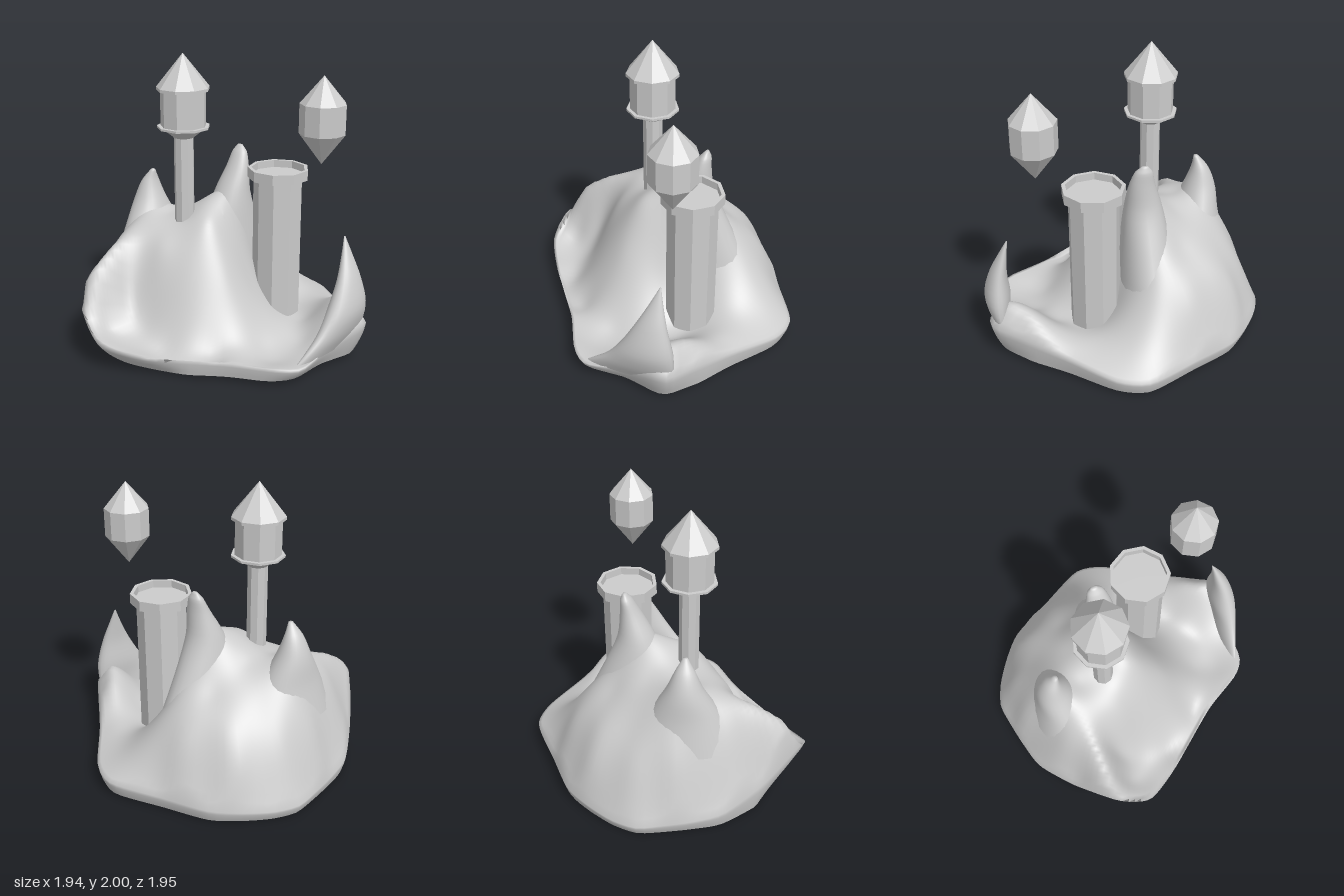
import * as THREE from 'three';

const smooth = new THREE.MeshStandardMaterial({ color: 0xcccccc, side: THREE.DoubleSide });
const faceted = new THREE.MeshStandardMaterial({ color: 0xcccccc, flatShading: true });

// Rim of the island: x, height, z
const RIM = [
  [0.15, 0.08, -0.98], [-0.02, 0.09, -0.96], [-0.22, 0.1, -0.92], [-0.42, 0.13, -0.86],
  [-0.68, 0.22, -0.66], [-0.92, 0.36, -0.42], [-0.97, 0.22, -0.2], [-0.82, 0.15, 0.06],
  [-0.5, 0.14, 0.48], [-0.33, 0.14, 0.78], [-0.2, 0.13, 0.88], [0.07, 0.18, 0.88],
  [0.32, 0.27, 0.95], [0.41, 0.26, 0.93], [0.51, 0.24, 0.78], [0.7, 0.18, 0.48],
  [0.92, 0.13, 0.18], [0.965, 0.12, -0.04], [0.8, 0.11, -0.37], [0.65, 0.1, -0.66],
  [0.5, 0.09, -0.8], [0.32, 0.08, -0.92],
];

// Spot heights inside the rim: x, height, z
const VALLEY = [
  [0.1, 0.14, 0.64], [-0.2, 0.1, 0.65], [0.3, 0.18, 0.5], [0.35, 0.2, 0.22],
  [-0.15, 0.13, 0.52], [-0.46, 0.13, 0.36], [-0.65, 0.13, 0.08], [-0.82, 0.17, -0.13],
  [0.36, 0.4, 0.84], [0.46, 0.36, 0.7], [0.52, 0.3, 0.58], [0.62, 0.22, 0.38],
  [0.75, 0.24, 0.1],
];
const HILL = [
  [-0.15, 0.87, 0.0], [-0.2, 0.55, 0.2], [-0.2, 0.27, 0.38], [0.05, 0.93, -0.02],
  [0.05, 0.48, 0.2], [0.05, 0.23, 0.4], [0.2, 0.98, -0.07], [0.3, 0.42, 0.08],
  [0.45, 0.7, -0.15], [0.6, 0.52, -0.15], [0.75, 0.32, -0.15], [0.65, 0.42, -0.38],
  [0.35, 0.72, -0.35], [0.1, 0.85, -0.38], [-0.15, 0.87, -0.23], [-0.15, 0.86, -0.42],
  [-0.15, 0.9, -0.6], [-0.15, 0.7, -0.71], [-0.1, 0.42, -0.85], [0.2, 0.63, -0.65],
  [0.18, 0.41, -0.83], [0.45, 0.52, -0.6], [0.48, 0.29, -0.74], [-0.4, 0.79, -0.42],
  [-0.5, 0.74, -0.42], [-0.6, 0.7, -0.43], [-0.7, 0.64, -0.43], [-0.8, 0.56, -0.43],
  [-0.45, 0.6, -0.65], [-0.65, 0.48, -0.58], [-0.6, 0.42, -0.3], [-0.6, 0.26, -0.13],
  [-0.8, 0.29, -0.31], [-0.42, 0.67, -0.2], [-0.4, 0.52, 0.02], [-0.4, 0.34, 0.2],
];

// Smooth height function through all the given points
function makeHeight(points) {
  const n = points.length;
  const phi = (x, z, p) => Math.sqrt((x - p[0]) ** 2 + (z - p[2]) ** 2 + 0.004);
  const m = points.map(a => [...points.map(b => phi(a[0], a[2], b)), a[1]]);
  for (let c = 0; c < n; c++) {
    let best = c;
    for (let r = c + 1; r < n; r++) if (Math.abs(m[r][c]) > Math.abs(m[best][c])) best = r;
    [m[c], m[best]] = [m[best], m[c]];
    for (let r = 0; r < n; r++) {
      if (r === c) continue;
      const f = m[r][c] / m[c][c];
      for (let k = c; k <= n; k++) m[r][k] -= f * m[c][k];
    }
  }
  const w = m.map((row, i) => row[n] / row[i]);
  return (x, z) => Math.max(0.07, points.reduce((s, p, i) => s + w[i] * phi(x, z, p), 0));
}

// Skin over closed rings of equal length (counter-clockwise from above)
function loft(name, rings) {
  const n = rings[0].length, index = [];
  for (let j = 0; j < rings.length - 1; j++) {
    for (let i = 0; i < n; i++) {
      const a = j * n + i, b = j * n + (i + 1) % n;
      index.push(a, b, b + n, a, b + n, a + n);
    }
  }
  const geo = new THREE.BufferGeometry().setFromPoints(rings.flat());
  geo.setIndex(index);
  geo.computeVertexNormals();
  const mesh = new THREE.Mesh(geo, smooth);
  mesh.name = name;
  return mesh;
}

// Island: undercut outer wall, sculpted top and flat underside
function island() {
  const group = new THREE.Group();
  group.name = 'island';
  const height = makeHeight([...RIM, ...VALLEY, ...HILL]);
  const curve = new THREE.CatmullRomCurve3(RIM.map(p => new THREE.Vector3(...p)), true, 'catmullrom', 0.35);
  const rim = curve.getSpacedPoints(110).slice(0, 110);
  const floor = p => 0.022 + 0.02 * p.z;
  // The wall is undercut most on the left and at the front
  const undercut = p => 0.03 + 0.5 * Math.max(0, -p.x - 0.65) + 0.2 * Math.max(0, p.z - 0.7);
  const wall = t => rim.map(p => {
    const s = 1 - undercut(p) * (1 - t) ** 1.5;
    return new THREE.Vector3(p.x * s, THREE.MathUtils.lerp(floor(p), p.y, t), p.z * s);
  });
  const rings = [0, 0.25, 0.5, 0.75, 1].map(wall);
  const steps = 40;
  for (let j = 1; j <= steps; j++) {
    const s = 1 - j / steps;
    rings.push(rim.map(p => new THREE.Vector3(p.x * s, height(p.x * s, p.z * s), p.z * s)));
  }
  const centre = rim.map(() => new THREE.Vector3(0, 0.022, 0));
  group.add(loft('terrain', rings), loft('underside', [centre, rings[0]]));
  return group;
}

// Curved horn of rock from elliptical sections: x, y, z, half width, half depth
function horn(name, sections) {
  const centre = new THREE.CatmullRomCurve3(sections.map(s => new THREE.Vector3(s[0], s[1], s[2])));
  const size = new THREE.CatmullRomCurve3(sections.map(s => new THREE.Vector3(s[3], s[4], 0)));
  const rings = [];
  for (let j = 0; j <= 20; j++) {
    const c = centre.getPoint(j / 20), r = size.getPoint(j / 20);
    rings.push(Array.from({ length: 24 }, (_, i) => {
      const a = i / 24 * Math.PI * 2;
      return new THREE.Vector3(c.x + r.x * Math.cos(a), c.y, c.z - r.y * Math.sin(a));
    }));
  }
  rings.push(rings[20].map(() => centre.getPoint(1)));
  return loft(name, rings);
}

// Nine-sided turned part with a corner pointing backwards
function turned(name, x, z, profile) {
  const points = profile.map(p => new THREE.Vector2(...p));
  const mesh = new THREE.Mesh(new THREE.LatheGeometry(points, 9, Math.PI), faceted);
  mesh.position.set(x, 0, z);
  mesh.name = name;
  return mesh;
}

export function createModel() {
  const model = new THREE.Group();
  model.name = 'hornedIsland';
  model.add(island());

  // Peaks flare out at the foot to run into the terrain
  model.add(
    horn('mainPeak', [[0.22, 0.45, -0.14, 0.38, 0.2], [0.21, 0.75, -0.13, 0.24, 0.165],
      [0.21, 1.0, -0.115, 0.13, 0.125], [0.25, 1.18, -0.1, 0.07, 0.085],
      [0.275, 1.28, -0.105, 0.04, 0.058], [0.285, 1.325, -0.11, 0.012, 0.02]]),
    horn('backPeak', [[-0.15, 0.48, -0.5, 0.36, 0.28], [-0.145, 0.73, -0.56, 0.23, 0.165],
      [-0.14, 0.93, -0.59, 0.12, 0.105], [-0.14, 1.06, -0.585, 0.065, 0.056],
      [-0.14, 1.145, -0.555, 0.015, 0.015]]),
    horn('frontSpike', [[0.1, 0.14, 0.84, 0.3, 0.04], [0.19, 0.28, 0.875, 0.235, 0.07],
      [0.24, 0.42, 0.885, 0.18, 0.088], [0.27, 0.6, 0.872, 0.105, 0.06],
      [0.29, 0.75, 0.835, 0.047, 0.03], [0.305, 0.87, 0.8, 0.005, 0.004]]),
  );

  // Wide tower with a sunken roof inside its collar
  model.add(turned('wideTower', 0.305, 0.227, [[0, 0.1], [0.17, 0.1], [0.17, 1.15], [0.21, 1.15],
    [0.21, 1.22], [0.185, 1.22], [0.185, 1.17], [0, 1.17]]));

  // Slender tower with a lantern room and pointed roof
  model.add(turned('slenderTower', -0.147, -0.228, [[0, 0.7], [0.068, 0.7], [0.068, 1.435], [0.15, 1.5],
    [0.18, 1.5], [0.18, 1.515], [0.155, 1.515], [0.155, 1.755], [0.18, 1.755], [0.18, 1.775],
    [0, 2.0]]));

  // Floating turret, pointed at both ends
  model.add(turned('floatingTurret', 0.303, 0.59, [[0, 1.315], [0.153, 1.52], [0.153, 1.715], [0, 1.895]]));
  return model;
}
